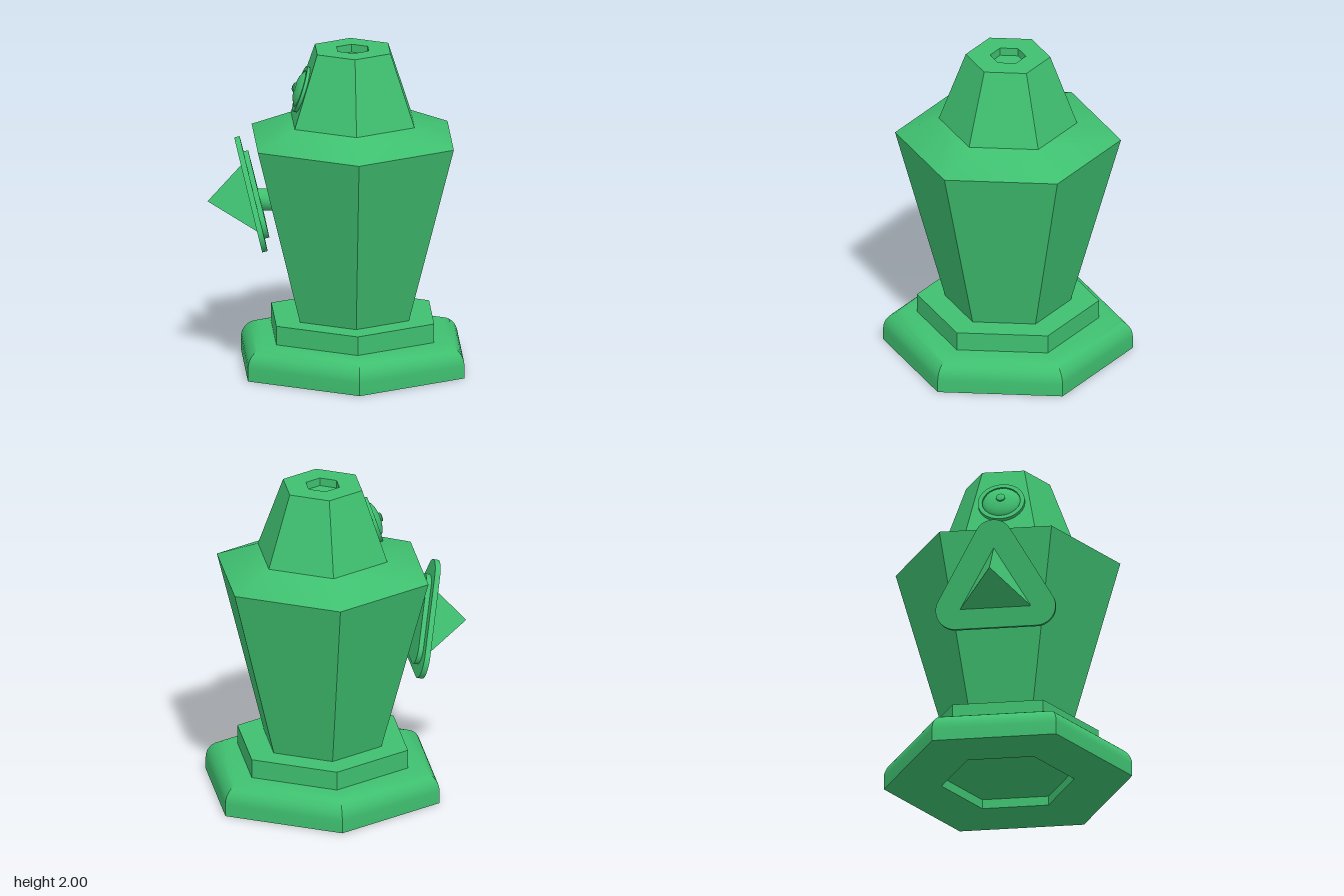
import * as THREE from 'three';
import { toCreasedNormals } from 'three/addons/utils/BufferGeometryUtils.js';

const green = new THREE.MeshStandardMaterial({ color: 0x3fc070 });
const AXIS_X = 0.112; // centre line of the hexagonal column

function add(parent, name, geometry, x = 0, y = 0, z = 0) {
  const mesh = new THREE.Mesh(toCreasedNormals(geometry, 0.6), green);
  mesh.name = name;
  mesh.position.set(x, y, z);
  parent.add(mesh);
  return mesh;
}

// Turned profile of [radius, height] points, from the bottom up
function turned(points, sides) {
  return new THREE.LatheGeometry(points.map(([r, y]) => new THREE.Vector2(r, y)), sides);
}

// Group on the -x side whose local +z points outwards, tilted downwards by the given angle
function sideMount(parent, name, x, y, tilt) {
  const mount = new THREE.Group();
  mount.name = name;
  mount.position.set(x, y, 0);
  mount.rotation.set(tilt, -Math.PI / 2, 0, 'YXZ');
  parent.add(mount);
  return mount;
}

// Upward-pointing triangle with rounded corners
function roundedTriangle(reach, r, depth) {
  const shape = new THREE.Shape();
  for (let i = 0; i < 3; i++) {
    const a = Math.PI / 2 + (i * Math.PI * 2) / 3;
    shape.absarc(reach * Math.cos(a), reach * Math.sin(a), r, a - Math.PI / 3, a + Math.PI / 3, false);
  }
  return new THREE.ExtrudeGeometry(shape, { depth, bevelEnabled: false, curveSegments: 10 });
}

// Three-sided spike from a base triangle (seen from outside) to a tip
function spikeGeometry(tip, top, front, back) {
  const g = new THREE.BufferGeometry();
  const faces = [tip, top, back, tip, front, top, tip, back, front, top, front, back];
  g.setAttribute('position', new THREE.Float32BufferAttribute(faces.flat(), 3));
  g.computeVertexNormals();
  return g;
}

export function createModel() {
  const model = new THREE.Group();
  model.name = 'hexagonalColumn';

  // Base with a rounded upper edge and a hexagonal recess underneath
  const base = [[0, 0.06], [0.41, 0.06], [0.41, 0], [0.768, 0]];
  for (let i = 0; i <= 8; i++) {
    const a = (i / 8) * Math.PI / 2;
    base.push([0.628 + 0.14 * Math.cos(a), 0.08 + 0.122 * Math.sin(a)]);
  }
  base.push([0, 0.202]);
  add(model, 'base', turned(base, 6), AXIS_X);

  // Step, tapered body, shoulder and cap with a hexagonal socket
  add(model, 'step', turned([[0, 0.2], [0.56, 0.2], [0.56, 0.32], [0, 0.32]], 6), AXIS_X);
  add(model, 'body', turned([[0, 0.32], [0.387, 0.32], [0.695, 1.44], [0.425, 1.55]], 6), AXIS_X);
  add(model, 'cap', turned([[0.425, 1.55], [0.26, 2], [0.11, 2], [0.11, 1.95], [0, 1.95]], 6), AXIS_X);

  // Two stacked rounded triangular plates, parallel to the body face
  const plates = sideMount(model, 'sidePlates', -0.52, 1.045, 0.234);
  add(plates, 'frontPlate', roundedTriangle(0.29, 0.12, 0.034), 0, 0, -0.034);
  add(plates, 'backPlate', roundedTriangle(0.22, 0.091, 0.03), 0, 0, -0.064);

  // Rod carrying the plates
  const rod = add(model, 'plateRod', new THREE.CylinderGeometry(0.07, 0.07, 0.18, 12), -0.4, 1.05);
  rod.rotation.z = Math.PI / 2;

  // Triangular spike
  add(model, 'spike', spikeGeometry(
    [-0.78, 1.045, 0], [-0.562, 1.285, 0], [-0.44, 0.885, 0.255], [-0.44, 0.885, -0.255]));

  // Round boss on the cap: rim, dome and central stud
  const boss = sideMount(model, 'capBoss', -0.193, 1.745, -0.322);
  const rim = [[0.115, -0.02], [0.145, -0.02], [0.145, 0.022], [0.118, 0.022], [0.118, 0.005]];
  const dome = [];
  for (let i = 0; i <= 8; i++) {
    const a = (i / 8) * Math.PI / 2;
    dome.push([0.12 * Math.cos(a), 0.055 * Math.sin(a)]);
  }
  const stud = [[0.028, 0.03], [0.028, 0.062], [0.018, 0.068], [0, 0.068]];
  for (const [name, profile] of [['bossRim', rim], ['bossDome', dome], ['bossStud', stud]]) {
    add(boss, name, turned(profile, 28)).rotation.x = Math.PI / 2;
  }

  return model;
}
